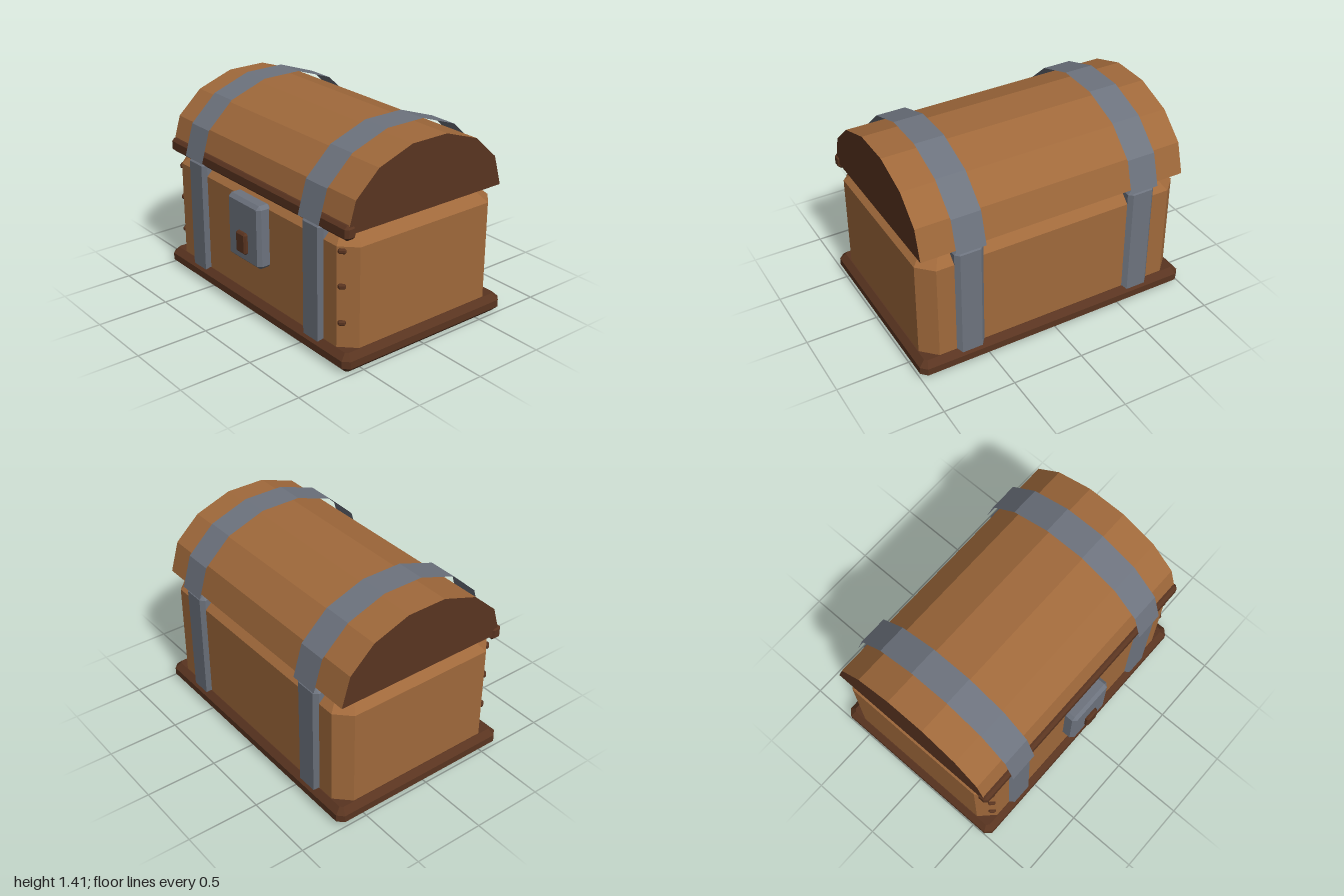
import * as THREE from 'three';
import { ConvexGeometry } from 'three/addons/geometries/ConvexGeometry.js';

const MID_Z = -0.033; // centre line of the whole chest

// Box given by its limits, with every edge cut by bevel b
function bevelBox([x0, x1], [y0, y1], [z0, z1], b) {
  const h = [(x1 - x0) / 2, (y1 - y0) / 2, (z1 - z0) / 2];
  const points = [];
  for (const sx of [-1, 1]) for (const sy of [-1, 1]) for (const sz of [-1, 1]) {
    for (let face = 0; face < 3; face++) {
      const c = h.map((v, i) => (i === face ? v : v - b));
      points.push(new THREE.Vector3(sx * c[0], sy * c[1], sz * c[2]));
    }
  }
  return new ConvexGeometry(points).translate((x0 + x1) / 2, (y0 + y1) / 2, (z0 + z1) / 2);
}

// Give each face its own flat normal
function faceted(geometry) {
  const flat = geometry.toNonIndexed();
  flat.computeVertexNormals();
  return flat;
}

// Shell open underneath: corner-cut rectangles [hx, hz, cut, y] from top to bottom, closed on top
function openShell(rings) {
  const levels = [[0, 0, 0, rings[0][3]], ...rings];
  const shell = new THREE.CylinderGeometry(1, 1, 1, 8, levels.length - 1, true);
  const pos = shell.attributes.position;
  for (let i = 0; i < pos.count; i++) {
    const [hx, hz, c, y] = levels[Math.floor(i / 9)];
    const outline = [[hx - c, hz], [hx, hz - c], [hx, c - hz], [hx - c, -hz],
      [c - hx, -hz], [-hx, c - hz], [-hx, hz - c], [c - hx, hz]];
    const [x, z] = outline[(i % 9) % 8];
    pos.setXYZ(i, x, y, z + MID_Z);
  }
  return faceted(shell);
}

// Arched sheet: half profile of [z, y] from front rim to crown, mirrored to the back
function archSheet(half, width) {
  const profile = [...half.map(([z, y]) => [-z, y]), ...half.slice().reverse()];
  const sheet = new THREE.PlaneGeometry(width, 1, 1, profile.length - 1);
  const pos = sheet.attributes.position;
  for (let i = 0; i < pos.count; i++) {
    const [z, y] = profile[Math.floor(i / 2)];
    pos.setXYZ(i, pos.getX(i), y, z + MID_Z);
  }
  return faceted(sheet);
}

export function createModel() {
  const colour = (name, color) => {
    const material = new THREE.MeshStandardMaterial({ color, side: THREE.DoubleSide });
    material.name = name;
    return material;
  };
  const wood = colour('wood', 0xa0693b);
  const darkWood = colour('dark wood', 0x593420);
  const steel = colour('steel', 0x6d737e);

  const chest = new THREE.Group();
  chest.name = 'chest';
  const add = (name, geometry, material) => {
    const mesh = new THREE.Mesh(geometry, material);
    mesh.name = name;
    chest.add(mesh);
    return mesh;
  };

  // Base: bevelled tray turned upside down, its top serving as the floor
  add('base', openShell([
    [0.96, 0.637, 0.017, 0.13], [1, 0.677, 0.04, 0.09], [1, 0.677, 0.04, 0.04], [0.96, 0.637, 0.017, 0],
  ]), darkWood);

  // Body with broad bevels, its lower rim showing inside the base
  add('body', openShell([
    [0.855, 0.533, 0.07, 0.908], [0.955, 0.633, 0.1, 0.81], [0.955, 0.633, 0.1, 0.07],
  ]), wood);

  // Lid: hollow half barrel with dark ends
  const lidHalf = [[0.633, 0.913], [0.572, 1.12], [0.398, 1.28], [0.14, 1.37]];
  add('lid', archSheet(lidHalf, 1.91), wood);
  const endOutline = [...lidHalf, ...lidHalf.map(([z, y]) => [-z, y]).reverse()];
  const lidEnd = new THREE.ShapeGeometry(new THREE.Shape(endOutline.map(([z, y]) => new THREE.Vector2(z, y))));
  for (const side of [-1, 1]) {
    const end = add(side > 0 ? 'leftLidEnd' : 'rightLidEnd', lidEnd, darkWood);
    end.rotation.y = side * Math.PI / 2;
    end.position.set(side * 0.955, 0, MID_Z);
  }
  add('lidRail', bevelBox([-0.965, 0.965], [0.876, 0.972], [0.533, 0.616], 0.02), darkWood);

  // Lid bands (thin sheets standing off the lid), body straps and rivets
  const band = archSheet([[0.673, 0.91], [0.608, 1.132], [0.418, 1.31], [0.145, 1.406]], 0.204);
  const strap = openShell([
    [0.072, 0.633, 0, 0.912], [0.1, 0.661, 0.028, 0.884], [0.1, 0.661, 0.028, 0.045],
  ]);
  for (const side of [-1, 1]) {
    const label = side > 0 ? 'left' : 'right';
    add(label + 'LidBand', band, steel).position.x = side * 0.632;
    add(label + 'BodyStrap', strap, steel).position.x = side * 0.632;

    // Rivets on the front corner bevels
    for (const y of [0.3, 0.548, 0.782]) {
      const rivet = add(label + 'Rivet', bevelBox([-0.025, 0.025], [-0.017, 0.017], [-0.018, 0.018], 0.009), darkWood);
      rivet.position.set(side * 0.878, y, 0.577);
      rivet.rotation.y = side * Math.PI / 4;
    }
  }

  // Lock
  add('lockPlate', bevelBox([-0.175, 0.175], [0.4, 0.842], [0.57, 0.684], 0.024), steel);
  add('lockKnob', bevelBox([-0.052, 0.052], [0.472, 0.62], [0.66, 0.711], 0.012), darkWood);

  return chest;
}
